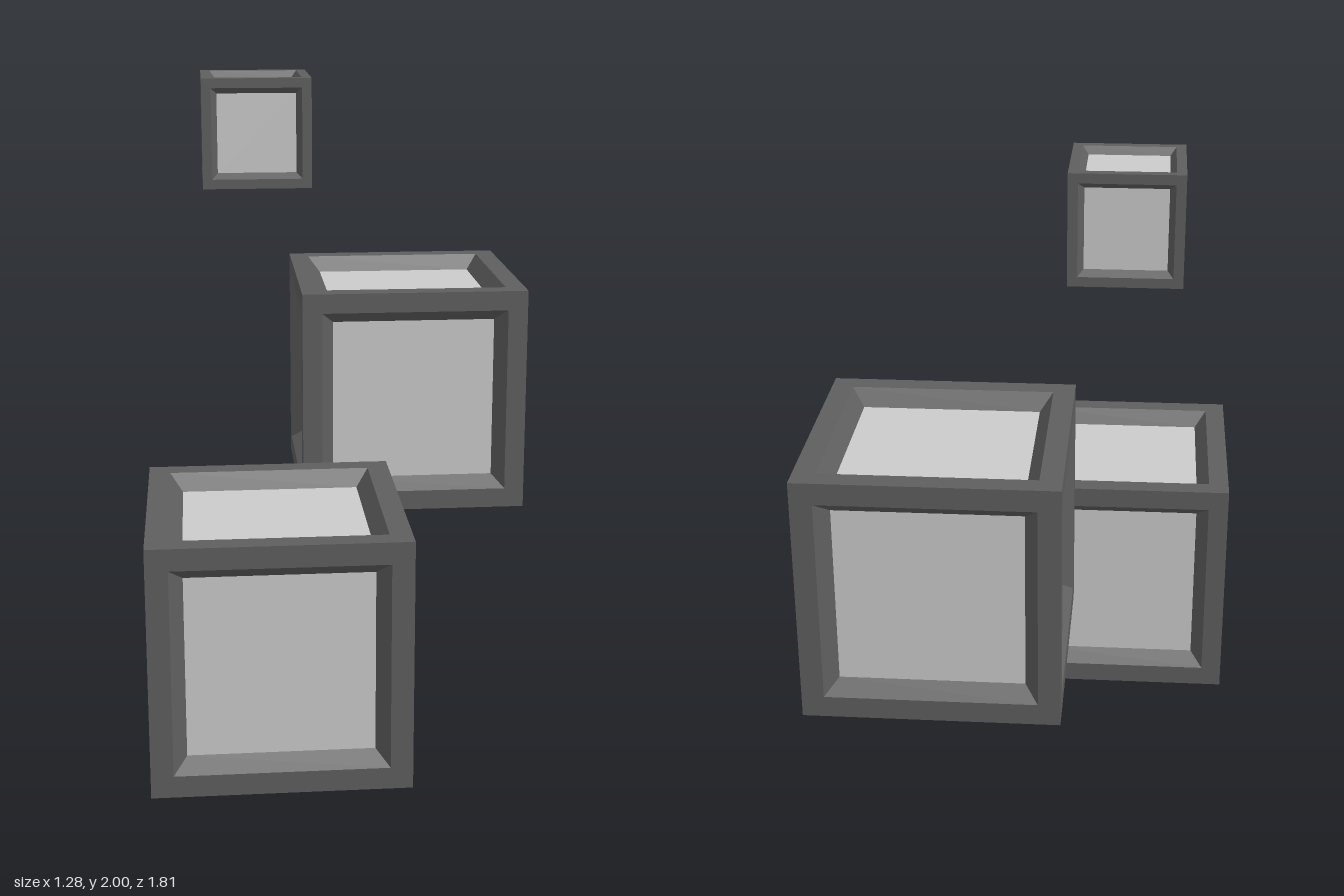
import * as THREE from 'three';

const frameMaterial = new THREE.MeshStandardMaterial({ color: 0x5f5f5f, flatShading: true });
const panelMaterial = new THREE.MeshStandardMaterial({ color: 0xcccccc, flatShading: true });

// Half sizes on a unit cube: outer edge, inner edge of the rim, recessed panel
const OUTER = 0.5, RIM = 0.413, PANEL = 0.361, DEPTH = 0.067;

// Square rim with a bevel sloping down to the panel: a four-sided lathe facing +y
function frameGeometry() {
  const corner = (half, y) => new THREE.Vector2(half * Math.SQRT2, y);
  const profile = [corner(OUTER, OUTER), corner(RIM, OUTER), corner(PANEL, OUTER - DEPTH)];
  const geometry = new THREE.LatheGeometry(profile, 4, Math.PI / 4).toNonIndexed();
  geometry.computeVertexNormals();
  return geometry;
}

// Flat panel at the bottom of the recess
function panelGeometry() {
  return new THREE.PlaneGeometry(PANEL * 2, PANEL * 2)
    .rotateX(-Math.PI / 2)
    .translate(0, OUTER - DEPTH, 0);
}

// Rotations that turn the +y side to each side of the cube
const SIDES = {
  top: [0, 0, 0],
  bottom: [Math.PI, 0, 0],
  front: [Math.PI / 2, 0, 0],
  back: [-Math.PI / 2, 0, 0],
  left: [0, 0, -Math.PI / 2],
  right: [0, 0, Math.PI / 2],
};

function createCrate(name, size, position, frame, panel) {
  const crate = new THREE.Group();
  crate.name = name;
  for (const [side, rotation] of Object.entries(SIDES)) {
    const rim = new THREE.Mesh(frame, frameMaterial);
    rim.name = `${side}Frame`;
    const inset = new THREE.Mesh(panel, panelMaterial);
    inset.name = `${side}Panel`;
    for (const mesh of [rim, inset]) {
      mesh.rotation.set(...rotation);
      crate.add(mesh);
    }
  }
  crate.scale.setScalar(size);
  crate.position.set(...position);
  return crate;
}

export function createModel() {
  const model = new THREE.Group();
  model.name = 'floatingCrates';
  const frame = frameGeometry();
  const panel = panelGeometry();
  model.add(
    createCrate('lowerCrate', 0.768, [-0.257, 0.384, 0.521], frame, panel),
    createCrate('middleCrate', 0.766, [0.257, 0.887, -0.522], frame, panel),
    createCrate('smallUpperCrate', 0.346, [-0.277, 1.827, -0.128], frame, panel),
  );
  return model;
}
